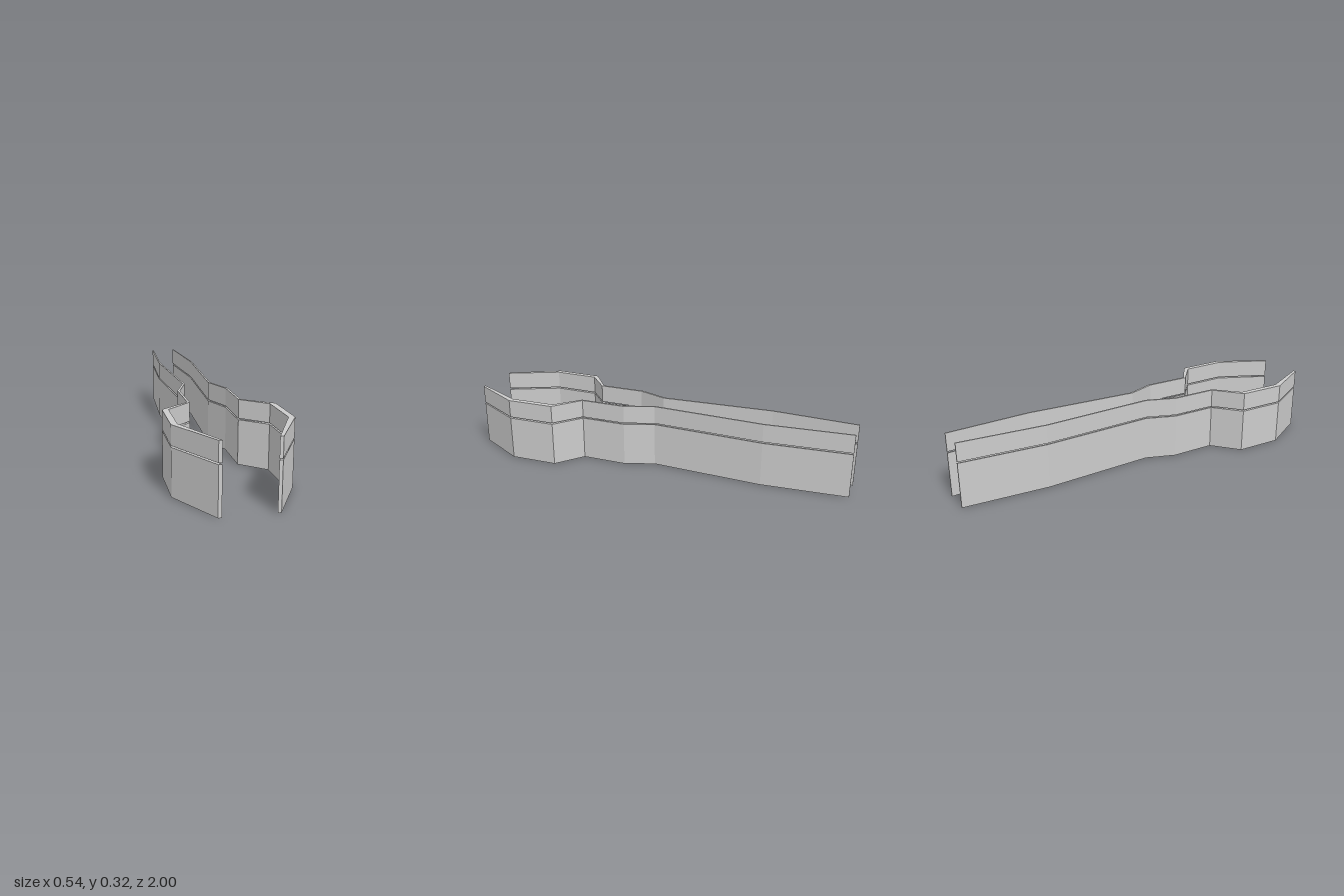
import * as THREE from 'three';

// Wall plan as [x, z], listed from back to front
const OUTER = [[0.07, -1], [0.1, -0.57], [0.073, 0.005], [0.129, 0.155], [0.129, 0.39],
  [0.267, 0.498], [0.272, 0.745], [0.132, 1]];
const INNER = [[0.063, -1], [0.092, -0.57], [0.063, 0.01], [0.118, 0.16], [0.118, 0.397],
  [0.238, 0.505], [0.243, 0.74], [0.116, 1]];

// Wall heights as [name, bottom, top], with a thin slit between them
const LAYERS = [['lowerWall', 0, 0.224], ['upperWall', 0.231, 0.323]];

export function createModel() {
  const model = new THREE.Group();
  const material = new THREE.MeshStandardMaterial({ color: 0xcccccc, flatShading: true });
  const outline = [...OUTER, ...[...INNER].reverse()];

  for (const [side, sign] of [['left', 1], ['right', -1]]) {
    const wall = new THREE.Group();
    wall.name = side + 'Wall';
    const shape = new THREE.Shape(
      outline.map(([x, z]) => new THREE.Vector2(sign * x - 0.001, -z)));

    for (const [name, bottom, top] of LAYERS) {
      const geometry = new THREE.ExtrudeGeometry(shape, { depth: top - bottom, bevelEnabled: false });
      geometry.rotateX(-Math.PI / 2); // stand the plan upright
      const mesh = new THREE.Mesh(geometry, material);
      mesh.name = name;
      mesh.position.y = bottom;
      wall.add(mesh);
    }
    model.add(wall);
  }
  return model;
}
